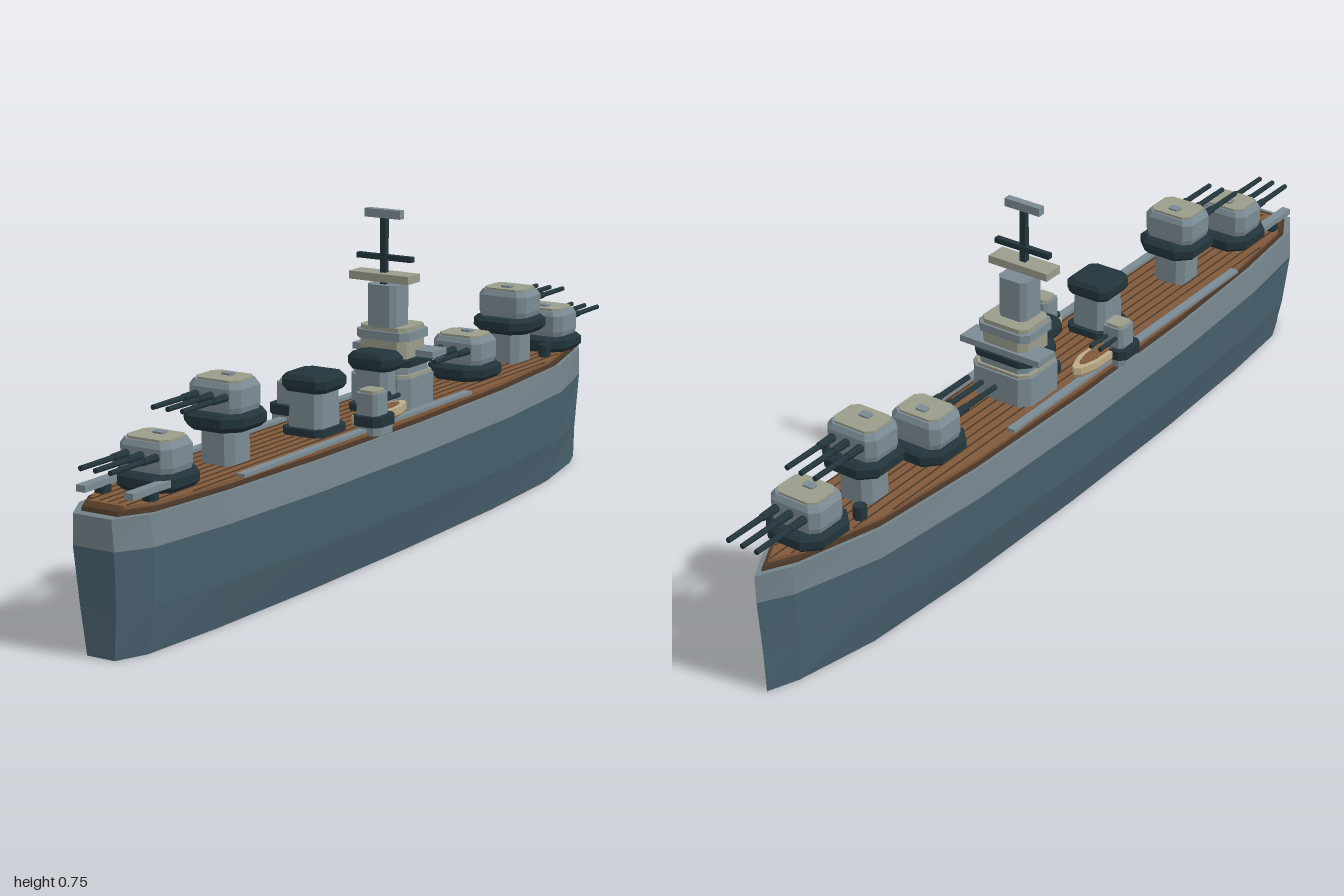
import * as THREE from 'three';

const mat = (name, color) =>
  Object.assign(new THREE.MeshStandardMaterial({ color, flatShading: true }), { name });
const M = {
  lower: mat('lower hull slate', 0x4a6270),
  upper: mat('upper hull grey', 0x73828a),
  grey: mat('superstructure grey', 0x7b8b93),
  pale: mat('pale roof', 0x9a9c8a),
  dark: mat('dark steel', 0x22343a),
  wood: mat('deck wood', 0x80593a),
  seam: mat('deck seam', 0x4c3828),
  tan: mat('boat tan', 0xbcab86),
};

// Stacks scaled copies of a convex outline [x, z]; rows are [y, scaleX, scaleZ]
function loft(outline, rows) {
  const pos = [], n = outline.length;
  const P = (r, i) => [outline[i % n][0] * r[1], r[0], outline[i % n][1] * r[2]];
  const first = rows[0], last = rows[rows.length - 1];
  for (let i = 0; i < n; i++) {
    for (let k = 0; k < rows.length - 1; k++) {
      const a = P(rows[k], i), b = P(rows[k], i + 1), c = P(rows[k + 1], i + 1), d = P(rows[k + 1], i);
      pos.push(...a, ...b, ...c, ...a, ...c, ...d);
    }
    pos.push(0, last[0], 0, ...P(last, i), ...P(last, i + 1));
    pos.push(0, first[0], 0, ...P(first, i + 1), ...P(first, i));
  }
  const g = new THREE.BufferGeometry();
  g.setAttribute('position', new THREE.Float32BufferAttribute(pos, 3));
  g.computeVertexNormals();
  return g;
}

// Mirrors a right-hand half outline (running from +z to -z) into a closed loop
const closed = (half) => [...half, ...half.filter((p) => p[0] > 0).reverse().map(([x, z]) => [-x, z])];
// Rectangle of half sizes w, d with corners cut by c
const cut = (w, d, c) => closed([[w - c, d], [w, d - c], [w, c - d], [w - c, -d]]);

function add(parent, name, geometry, material, x = 0, y = 0, z = 0) {
  const mesh = new THREE.Mesh(geometry, material);
  mesh.name = name;
  mesh.position.set(x, y, z);
  parent.add(mesh);
  return mesh;
}
const box = (parent, name, material, w, h, d, x, y, z) =>
  add(parent, name, new THREE.BoxGeometry(w, h, d), material, x, y, z);
const block = (parent, name, material, w, d, c, y0, y1, x, z, taper = 1) =>
  add(parent, name, loft(cut(w, d, c), [[y0, 1, 1], [y1, taper, taper]]), material, x, 0, z);

function group(parent, name, x, y, z) {
  const g = new THREE.Group();
  g.name = name;
  g.position.set(x, y, z);
  parent.add(g);
  return g;
}

// Gun barrel lying along z, starting at the given point
function barrel(parent, r, length, x, y, z) {
  add(parent, 'barrel', new THREE.CylinderGeometry(r * 0.85, r, length, 8), M.dark, x, y, z + length / 2)
    .rotation.x = Math.PI / 2;
}

// Main turret: armour ring, chamfered house, roof plate, hatch and three barrels
function mainTurret(parent, z, dir, raised) {
  const t = group(parent, raised ? 'raisedTurret' : 'deckTurret', 0, raised ? 0.38 : 0.305, z);
  if (raised) block(t, 'barbette', M.grey, 0.042, 0.042, 0.016, -0.075, 0.005, 0, 0);
  add(t, 'armourRing', loft(cut(0.075, 0.075, 0.034),
    [[0, 0.84, 0.84], [0.012, 1, 1], [0.03, 1, 1], [0.038, 0.88, 0.88]]), M.dark);
  add(t, 'gunHouse', loft(cut(0.064, 0.051, 0.017),
    [[0.036, 0.94, 0.94], [0.05, 1, 1], [0.088, 1, 1], [0.1, 0.88, 0.88]]), M.grey);
  block(t, 'roofPlate', M.pale, 0.052, 0.041, 0.014, 0.099, 0.105, 0, 0);
  block(t, 'roofHatch', M.grey, 0.014, 0.01, 0.004, 0.104, 0.109, 0, -0.012);
  for (const x of [-0.036, 0, 0.036]) {
    barrel(t, 0.0095, 0.05, x, 0.072, 0.045);
    barrel(t, 0.0068, 0.152, x, 0.072, 0.045);
  }
  if (dir < 0) t.rotation.y = Math.PI;
}

function funnel(parent, z, d) {
  const f = group(parent, 'funnel', 0.011, 0, z);
  block(f, 'funnelBase', M.dark, 0.052, d + 0.002, 0.015, 0.3, 0.322, 0, 0);
  block(f, 'funnelTrunk', M.grey, 0.044, d - 0.01, 0.014, 0.32, 0.405, 0, 0, 0.95);
  add(f, 'funnelCap', loft(cut(0.056, d, 0.016),
    [[0.4, 0.88, 0.88], [0.41, 1, 1], [0.427, 1, 1], [0.437, 0.84, 0.84]]), M.dark);
}

export function createModel() {
  const ship = new THREE.Group();
  ship.name = 'warship';

  // Hull: pointed bow at -z, cut stern at +z
  const half = [[0.05, 1], [0.093, 0.93], [0.118, 0.72], [0.135, 0.4], [0.14, 0],
    [0.13, -0.4], [0.102, -0.7], [0.042, -0.9], [0, -0.97]];
  const outline = closed(half);
  add(ship, 'lowerHull', loft(outline, [[0, 0.67, 0.982], [0.1, 0.88, 0.987], [0.225, 1, 0.998]]), M.lower);
  add(ship, 'upperHull', loft(outline, [[0.225, 1, 0.998], [0.29, 0.93, 1]]), M.upper);
  add(ship, 'deckEdge', loft(outline, [[0.289, 0.88, 0.978], [0.299, 0.87, 0.975]]), M.seam);
  add(ship, 'deck', loft(outline, [[0.298, 0.84, 0.955], [0.306, 0.84, 0.955]]), M.wood);

  // Deck seams, each ending where its line meets the deck outline
  for (let k = -4; k <= 4; k++) {
    const x = k * 0.022, ends = [];
    for (let i = 0; i < half.length - 1; i++) {
      const [xa, za] = half[i], [xb, zb] = half[i + 1];
      const t = (Math.abs(x) / 0.84 - xa) / (xb - xa);
      if (t >= 0 && t <= 1) ends.push((za + (zb - za) * t) * 0.95);
    }
    const z0 = Math.min(...ends), z1 = ends.length > 1 ? Math.max(...ends) : 0.945;
    box(ship, 'deckSeam', M.seam, 0.003, 0.002, z1 - z0, x, 0.3065, (z0 + z1) / 2);
  }

  // Main battery
  mainTurret(ship, 0.79, 1, false);
  mainTurret(ship, 0.555, 1, true);
  mainTurret(ship, -0.41, 1, false);
  mainTurret(ship, -0.62, -1, true);
  mainTurret(ship, -0.803, -1, false);

  // Bridge tower
  const b = group(ship, 'bridge', 0, 0, -0.09);
  block(b, 'bridgeBase', M.grey, 0.078, 0.07, 0.022, 0.3, 0.375, 0, 0);
  block(b, 'lowerRoof', M.pale, 0.074, 0.066, 0.02, 0.375, 0.382, 0, 0);
  block(b, 'bridgeMiddle', M.grey, 0.066, 0.06, 0.018, 0.382, 0.412, 0, 0);
  block(b, 'walkway', M.dark, 0.076, 0.066, 0.02, 0.4, 0.415, 0, 0);
  box(b, 'bridgeWings', M.grey, 0.21, 0.015, 0.06, 0, 0.423, -0.03);
  block(b, 'bridgeUpper', M.pale, 0.06, 0.053, 0.016, 0.412, 0.468, 0, 0);
  block(b, 'upperRoof', M.grey, 0.068, 0.056, 0.016, 0.456, 0.475, 0, 0);
  block(b, 'roofPlate', M.pale, 0.06, 0.05, 0.014, 0.474, 0.485, 0, 0);
  block(b, 'towerColumn', M.grey, 0.037, 0.037, 0.012, 0.484, 0.579, 0, 0.018);
  box(b, 'rangefinder', M.pale, 0.154, 0.018, 0.05, 0, 0.596, 0.034);
  box(b, 'mast', M.dark, 0.014, 0.15, 0.014, 0, 0.652, 0.034);
  box(b, 'yard', M.dark, 0.142, 0.012, 0.014, 0, 0.638, 0.03);
  box(b, 'radar', M.grey, 0.091, 0.019, 0.018, 0, 0.736, 0.034);

  // Funnels
  funnel(ship, -0.002, 0.04);
  funnel(ship, 0.243, 0.056);

  // Paired fittings on both sides
  for (const s of [-1, 1]) {
    box(ship, 'sideWalkway', M.grey, 0.02, 0.008, 0.9, s * 0.103, 0.309, 0.2);

    // Secondary gun mount, barrels towards the bow
    const g = group(ship, 'secondaryTurret', s * 0.108, 0, 0.158);
    block(g, 'sponson', M.grey, 0.032, 0.036, 0.012, 0.299, 0.318, 0, 0);
    block(g, 'mountRing', M.dark, 0.036, 0.04, 0.014, 0.318, 0.34, 0, 0);
    block(g, 'gunHouse', M.grey, 0.027, 0.027, 0.008, 0.338, 0.388, -s * 0.005, 0);
    block(g, 'roofPlate', M.pale, 0.022, 0.022, 0.007, 0.387, 0.394, -s * 0.005, 0);
    for (const x of [-0.012, 0.012]) barrel(g, 0.0055, 0.07, x - s * 0.005, 0.365, -0.09);

    // Ship's boat
    const boat = closed([[0.018, 0.09], [0.026, 0.05], [0.026, -0.04], [0.012, -0.085], [0, -0.095]]);
    const boatGroup = group(ship, 'shipsBoat', s * 0.09, 0, 0.1);
    add(boatGroup, 'boatHull', loft(boat, [[0.308, 0.6, 0.9], [0.322, 1, 1], [0.338, 1, 1]]), M.tan);
    add(boatGroup, 'boatFloor', loft(boat, [[0.337, 0.6, 0.75], [0.34, 0.6, 0.75]]), M.wood);

    // Stern catapult
    const c = group(ship, 'catapult', s * 0.058, 0, 0.89);
    block(c, 'catapultBase', M.dark, 0.014, 0.014, 0.005, 0.305, 0.322, 0, 0);
    box(c, 'catapultRail', M.grey, 0.022, 0.014, 0.13, 0, 0.328, 0.005);

    // Bow capstan
    add(ship, 'capstan', new THREE.CylinderGeometry(0.015, 0.015, 0.032, 8), M.dark, s * 0.052, 0.32, -0.7);
  }
  return ship;
}
